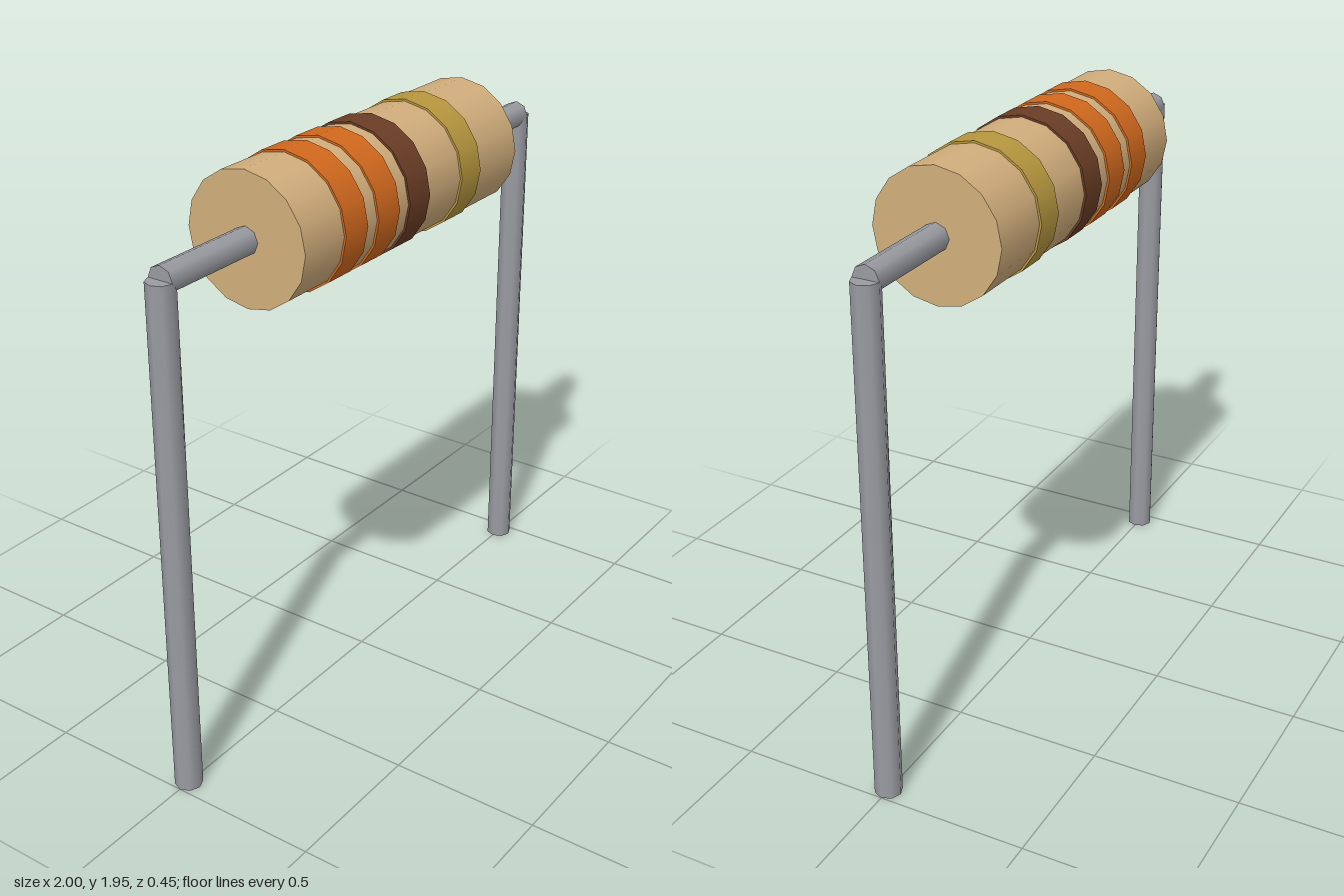
import * as THREE from 'three';

const AXIS_Y = 1.73;
const LEG_X = 0.955;
const WIRE_R = 0.045;
const BODY_HALF = 0.582;

const paint = (color) => new THREE.MeshStandardMaterial({ color });

export function createModel() {
  const model = new THREE.Group();
  model.name = 'resistor';

  const tan = paint(0xd2ae7c);
  const metal = paint(0x9a9ca2);
  const orange = paint(0xd2691e);
  const brown = paint(0x6b3e26);
  const gold = paint(0xb8983f);

  // Cylinder lying along x at the body axis height
  function axial(name, radius, length, sides, x, material) {
    const geometry = new THREE.CylinderGeometry(radius, radius, length, sides);
    geometry.rotateZ(Math.PI / 2);
    const mesh = new THREE.Mesh(geometry, material);
    mesh.name = name;
    mesh.position.set(x, AXIS_Y, 0);
    model.add(mesh);
  }

  // Body
  axial('body', 0.217, BODY_HALF * 2, 16, 0, tan);

  // Colour bands, slightly proud of the body
  [
    ['firstBand', -0.338, orange],
    ['secondBand', -0.17, orange],
    ['multiplierBand', -0.003, brown],
    ['toleranceBand', 0.295, gold],
  ].forEach(([name, x, material]) => axial(name, 0.224, 0.111, 16, x, material));

  // Wire leads: a horizontal stub and a vertical leg on each side
  for (const [side, s] of [['left', 1], ['right', -1]]) {
    axial(`${side}Lead`, WIRE_R, LEG_X - BODY_HALF, 8, s * (LEG_X + BODY_HALF) / 2, metal);

    const leg = new THREE.Mesh(new THREE.CylinderGeometry(WIRE_R, WIRE_R, AXIS_Y, 8), metal);
    leg.name = `${side}Leg`;
    leg.position.set(s * LEG_X, AXIS_Y / 2, 0);
    model.add(leg);
  }

  return model;
}
